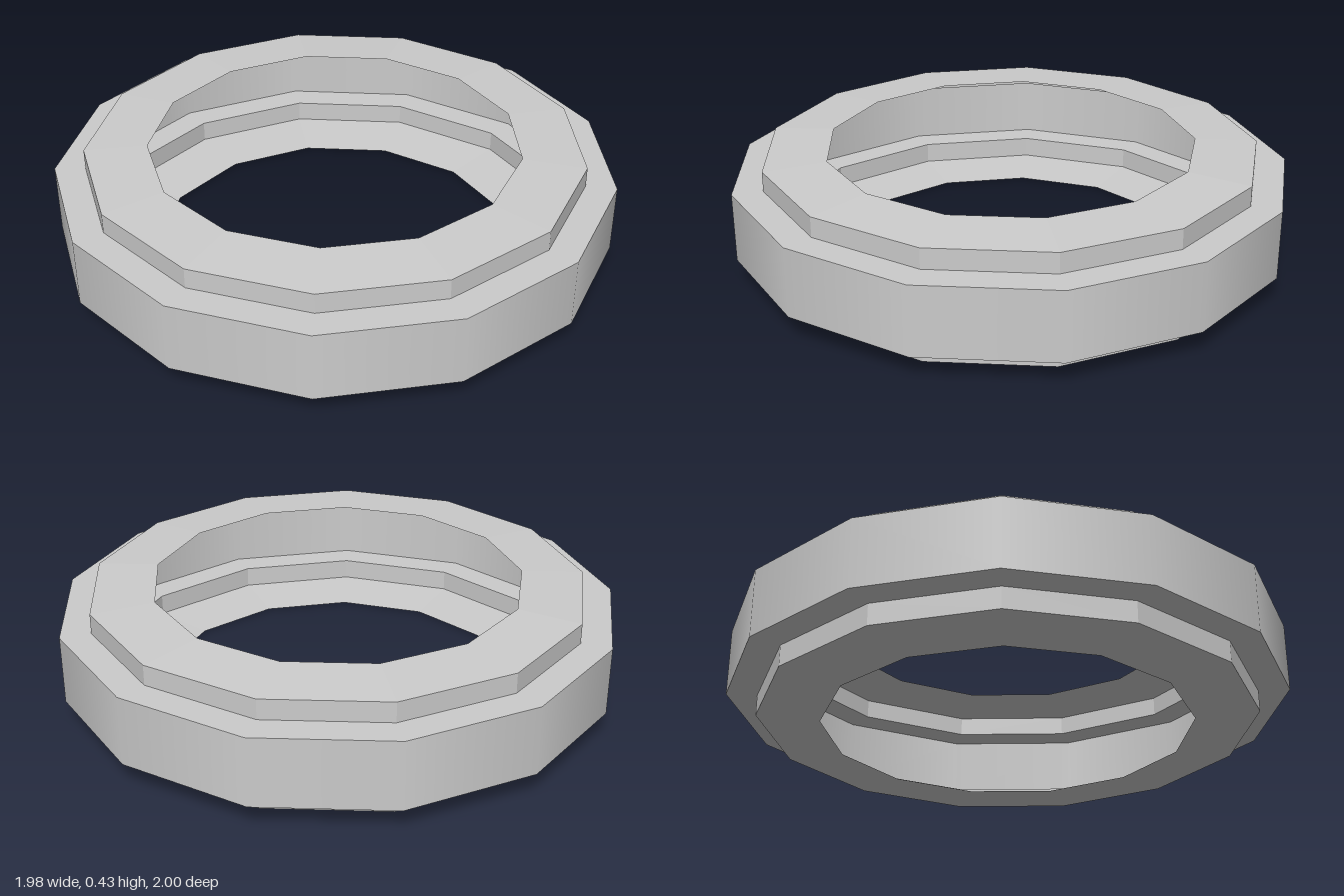
import * as THREE from 'three';

const SIDES = 13;
const CENTRE_X = -0.015; // centres the odd-sided ring on its bounds
const INNER = 0.67, STEP = 0.897, OUTER = 1.007;

function material(flatShading) {
  return new THREE.MeshStandardMaterial({ color: 0xcccccc, flatShading, side: THREE.DoubleSide });
}

export function createModel() {
  const group = new THREE.Group();
  group.name = 'hollowRing';
  const flat = material(true), smooth = material(false);

  // One strip of the ring swept between two [radius, height] points, listed bottom to top along the outside
  function strip(name, from, to, mat) {
    const points = [from, to].map(([r, y]) => new THREE.Vector2(r, y));
    const mesh = new THREE.Mesh(new THREE.LatheGeometry(points, SIDES, Math.PI / 2), mat);
    mesh.name = name;
    mesh.position.x = CENTRE_X;
    group.add(mesh);
  }

  // Thin open shell: the inside is hollow towards the hole
  strip('bottomFace', [INNER, 0], [STEP, 0.013], flat);
  strip('lowerCollar', [STEP, 0.013], [STEP, 0.09], flat);
  strip('lowerLedge', [STEP, 0.09], [OUTER, 0.09], flat);
  strip('outerBand', [OUTER, 0.09], [OUTER, 0.34], smooth);
  strip('upperLedge', [OUTER, 0.34], [STEP, 0.34], flat);
  strip('upperCollar', [STEP, 0.34], [STEP, 0.413], flat);
  strip('topFace', [STEP, 0.413], [INNER, 0.426], flat);

  return group;
}
